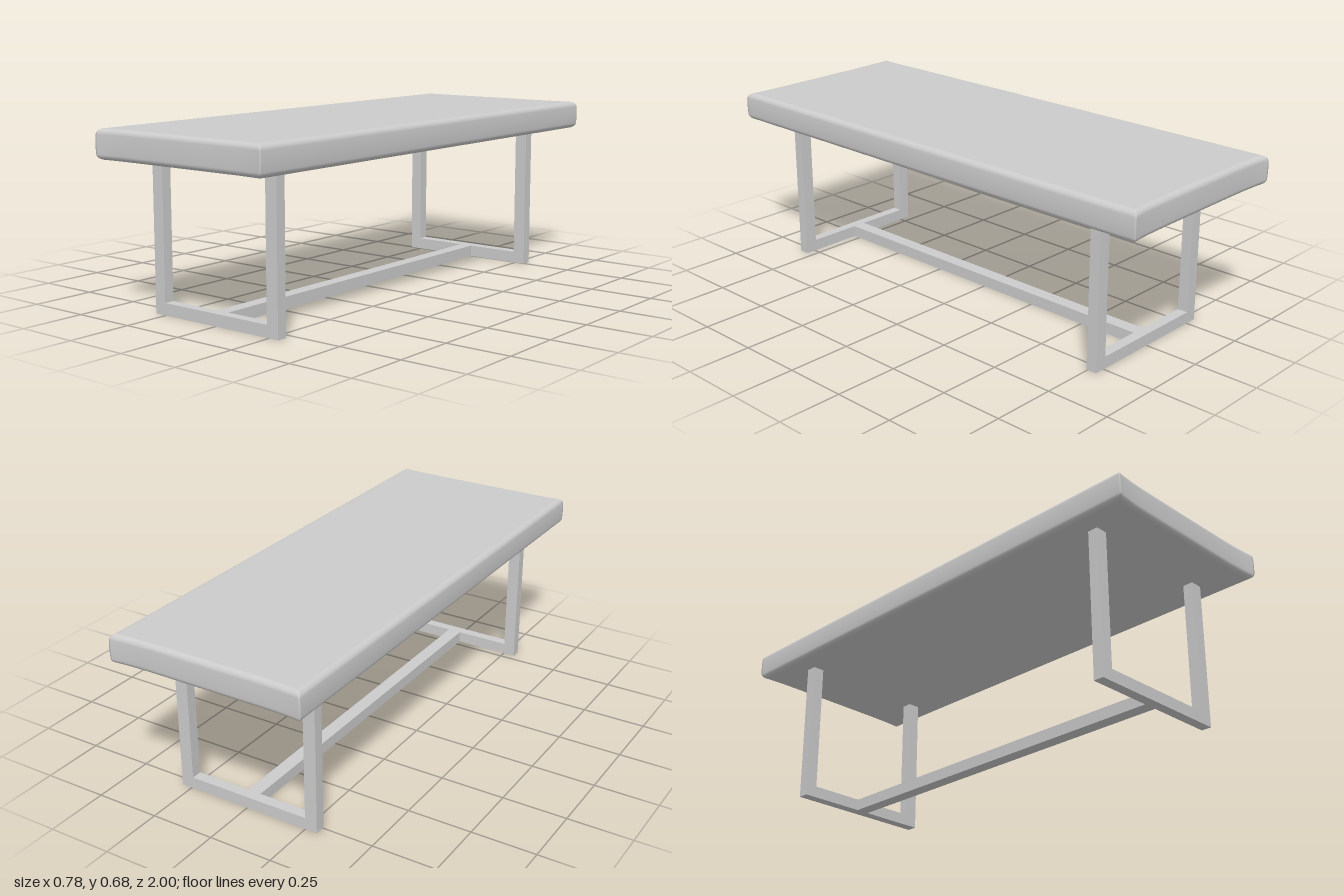
import * as THREE from 'three';
import { mergeVertices } from 'three/addons/utils/BufferGeometryUtils.js';

const material = new THREE.MeshStandardMaterial({ color: 0xcccccc });

function bar(name, x0, x1, y0, y1, z0, z1) {
  const mesh = new THREE.Mesh(new THREE.BoxGeometry(x1 - x0, y1 - y0, z1 - z0), material);
  mesh.position.set((x0 + x1) / 2, (y0 + y1) / 2, (z0 + z1) / 2);
  mesh.name = name;
  return mesh;
}

// Padded top: a grid box with rounded rims, mitred corners and soft tufting
function cushionGeometry() {
  const half = [0.384, 0.0555, 0.998], segs = [48, 14, 88];
  const radius = 0.02, rim = 4, middleY = 0.6255;
  let geo = new THREE.BoxGeometry(...segs, ...segs);
  geo.deleteAttribute('normal');
  geo.deleteAttribute('uv');
  geo = mergeVertices(geo);
  const pos = geo.attributes.position;

  // Outer grid steps cover the rounded rim, the rest spread evenly
  const split = (v, axis) => {
    const inner = segs[axis] / 2 - rim, a = Math.abs(v), s = Math.sign(v);
    const flat = s * Math.min(a / inner, 1) * (half[axis] - radius);
    return [flat, s * Math.tan(Math.max(a - inner, 0) / rim * Math.PI / 4)];
  };
  const wave = (v, pitch) => Math.sqrt(Math.abs(Math.cos(Math.PI * v / pitch)));

  for (let i = 0; i < pos.count; i++) {
    const [x0, dx] = split(pos.getX(i), 0);
    const [y0, dy] = split(pos.getY(i), 1);
    const [z0, dz] = split(pos.getZ(i), 2);
    const k = radius / Math.max(1, Math.hypot(Math.max(Math.abs(dx), Math.abs(dz)), dy));
    let x = x0 + dx * k, y = y0 + dy * k, z = z0 + dz * k;

    // Slightly bulging sides and hollow ends
    const bulge = 0.004 * (1 - (y / half[1]) ** 2);
    x *= 1 + bulge / half[0];
    z += Math.sign(z) * (Math.abs(z) / half[2]) ** 8 *
      (bulge * 0.5 - 0.01 * (1 - Math.min(1, Math.abs(x) / half[0]) ** 6));

    // Puffs between the seams, with dimples where the seams cross
    if (dy === 1) {
      const fade = Math.min(1, (half[0] - Math.abs(x)) / 0.05, (half[2] - Math.abs(z)) / 0.05);
      let lift = 0.007 * wave(x, 0.27) * wave(z, 0.4);
      for (const cz of [-0.6, -0.2, 0.2, 0.6]) {
        const d2 = (Math.abs(x) - 0.135) ** 2 + (z - cz) ** 2;
        lift -= 0.005 * Math.exp(-d2 / 0.004);
      }
      y += lift * Math.max(0, fade);
    }
    pos.setXYZ(i, x, y + middleY, z);
  }
  geo.computeVertexNormals();
  return geo;
}

export function createModel() {
  const model = new THREE.Group();
  model.name = 'bench';

  const cushion = new THREE.Mesh(cushionGeometry(), material);
  cushion.name = 'cushion';
  model.add(cushion);

  // U-shaped leg frames at both ends
  for (const [name, z0, z1] of [['frontFrame', 0.78, 0.82], ['backFrame', -0.787, -0.745]]) {
    const frame = new THREE.Group();
    frame.name = name;
    frame.add(
      bar('rightLeg', -0.298, -0.25, 0, 0.575, z0, z1),
      bar('leftLeg', 0.242, 0.292, 0, 0.575, z0, z1),
      bar('footRail', -0.25, 0.242, 0, 0.046, z0, z1)
    );
    model.add(frame);
  }

  // Floor stretcher joining the frames
  model.add(bar('stretcher', -0.03, 0.024, 0, 0.046, -0.745, 0.78));
  return model;
}
